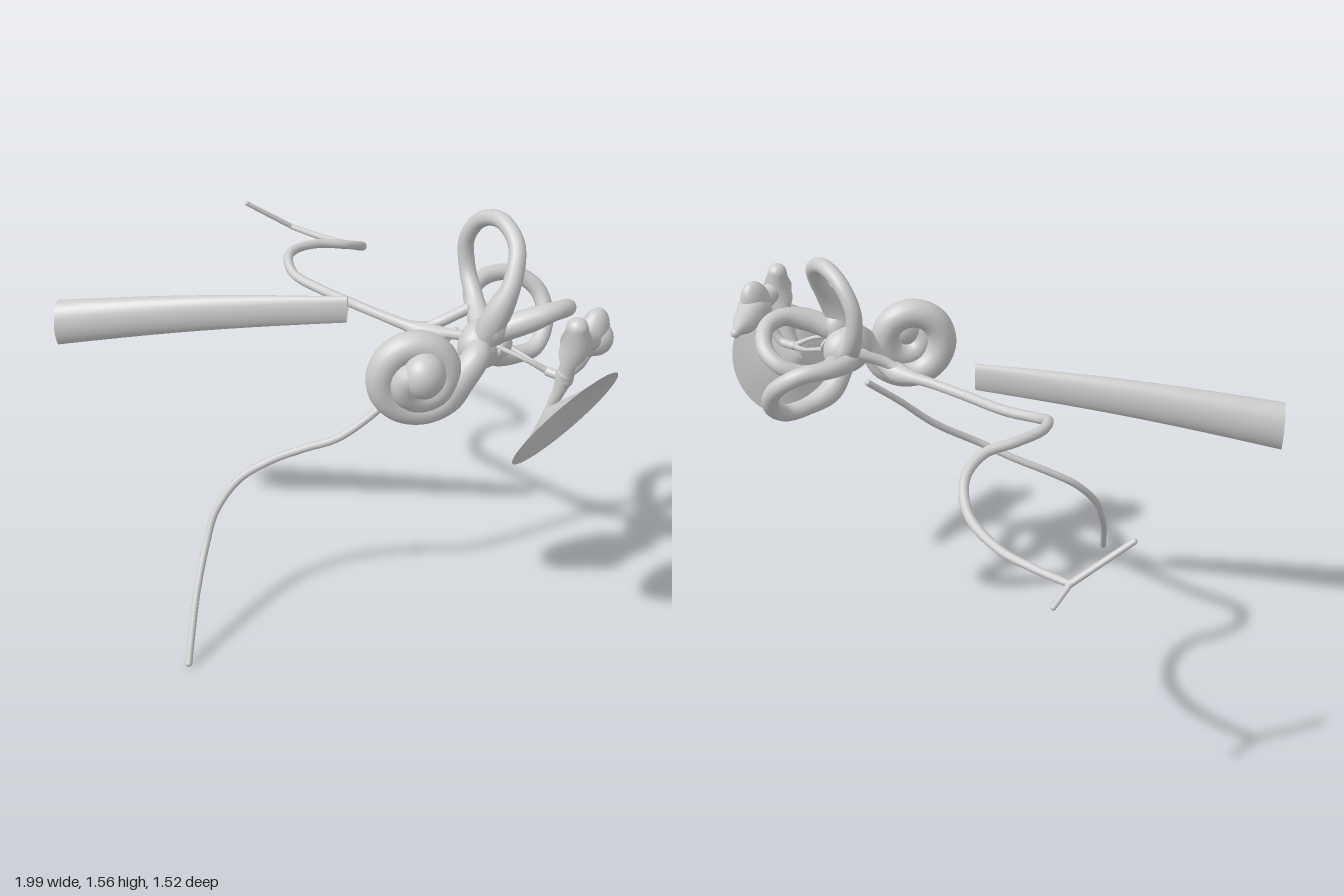
import * as THREE from 'three';

const bone = new THREE.MeshStandardMaterial({ color: 0xcccccc, side: THREE.DoubleSide });
bone.name = 'pale grey';

const V = (p) => new THREE.Vector3(...p);

function addMesh(parent, name, geometry) {
  const mesh = new THREE.Mesh(geometry, bone);
  mesh.name = name;
  parent.add(mesh);
  return mesh;
}

function blob(parent, name, pos, size, rot = [0, 0, 0]) {
  const mesh = addMesh(parent, name, new THREE.SphereGeometry(1, 28, 20));
  mesh.position.set(...pos);
  mesh.scale.set(...size);
  mesh.rotation.set(...rot);
  return mesh;
}

// Smooth tube whose radius follows a list spread evenly along its length
function limb(parent, name, points, radii, segments = 80, sides = 16) {
  const curve = new THREE.CatmullRomCurve3(points.map(V), false, 'centripetal');
  const geo = new THREE.TubeGeometry(curve, segments, 1, sides);
  const pos = geo.attributes.position, nor = geo.attributes.normal;
  const radiusAt = (t) => {
    const f = t * (radii.length - 1), i = Math.min(Math.floor(f), radii.length - 2);
    return THREE.MathUtils.lerp(radii[i], radii[i + 1], THREE.MathUtils.smoothstep(f - i, 0, 1));
  };
  for (let i = 0; i < pos.count; i++) {
    const k = radiusAt(Math.floor(i / (sides + 1)) / segments) - 1;
    pos.setXYZ(i, pos.getX(i) + nor.getX(i) * k, pos.getY(i) + nor.getY(i) * k, pos.getZ(i) + nor.getZ(i) * k);
  }
  geo.computeBoundingSphere();
  const group = new THREE.Group();
  group.name = name;
  addMesh(group, name + 'Tube', geo);
  [[points[0], radii[0]], [points.at(-1), radii.at(-1)]].forEach(([p, r]) => blob(group, name + 'End', p, [r, r, r]));
  parent.add(group);
}

// Grid sheet shaped by a rule (u, v in 0..1)
function sheet(parent, name, nu, nv, rule) {
  const geo = new THREE.PlaneGeometry(1, 1, nu, nv);
  const pos = geo.attributes.position;
  for (let i = 0; i < pos.count; i++) pos.setXYZ(i, ...rule(pos.getX(i) + 0.5, pos.getY(i) + 0.5));
  geo.computeVertexNormals();
  return addMesh(parent, name, geo);
}

export function createModel() {
  const model = new THREE.Group();
  model.name = 'innerEar';

  // Flattened tapering sleeve, open along its underside
  sheet(model, 'sleeve', 40, 12, (u, v) => {
    const a = (u - 0.5) * 2 * 2.5, L = THREE.MathUtils.lerp;
    const w = L(0.063, 0.02, v), h = L(0.09, 0.054, v), bulge = 0.012 * Math.sin(Math.PI * v);
    const s = -w * Math.sin(a);
    return [L(-0.853, 0.026, v) + 0.577 * s, L(1.005, 1.144, v) + bulge + h * Math.cos(a), L(0.55, -0.08, v) + 0.817 * s];
  });

  // Long nerve dropping to the front
  limb(model, 'lowerNerve', [
    [0.035, 0.015, 0.745], [-0.06, 0.22, 0.61], [-0.115, 0.35, 0.51], [-0.133, 0.45, 0.445],
    [-0.105, 0.56, 0.35], [-0.03, 0.635, 0.255], [0.06, 0.69, 0.175], [0.163, 0.75, 0.1],
    [0.25, 0.87, -0.06], [0.305, 1.0, -0.19], [0.345, 1.1, -0.3]], [0.013, 0.014, 0.014, 0.012], 120, 12);

  // Winding nerve with a swelling near the vestibule and a forked tip
  limb(model, 'rearNerve', [
    [0.0, 1.118, -0.17], [-0.184, 1.12, -0.166], [-0.33, 1.14, -0.16], [-0.4, 1.17, -0.198],
    [-0.43, 1.175, -0.267], [-0.41, 1.17, -0.374], [-0.36, 1.15, -0.47], [-0.37, 1.11, -0.57],
    [-0.46, 1.05, -0.655], [-0.61, 1.01, -0.69], [-0.746, 1.0, -0.688], [-0.88, 1.0, -0.68]], [0.018, 0.018, 0.017, 0.012], 140, 12);
  limb(model, 'nerveSwelling', [
    [0, 1.118, -0.17], [0.16, 1.117, -0.178], [0.3, 1.115, -0.195], [0.4, 1.14, -0.21], [0.5, 1.16, -0.22]],
  [0.018, 0.018, 0.02, 0.038, 0.018, 0.018], 60);
  limb(model, 'swellingBranch', [[0.27, 1.12, -0.19], [0.33, 1.155, -0.22], [0.39, 1.2, -0.3]], [0.014, 0.02, 0.02], 20);
  limb(model, 'forkLongArm', [[-0.88, 1.0, -0.68], [-0.99, 1.12, -0.525]], [0.011, 0.01], 6, 10);
  limb(model, 'forkShortArm', [[-0.88, 1.0, -0.68], [-0.88, 0.958, -0.755]], [0.01, 0.009], 6, 10);

  // Vestibule
  blob(model, 'vestibule', [0.53, 1.15, -0.22], [0.075, 0.09, 0.1]);
  blob(model, 'vestibuleCrown', [0.575, 1.22, -0.22], [0.05, 0.07, 0.055], [0, 0, -0.2]);

  // Three semicircular canals
  limb(model, 'upperCanal', [
    [0.55, 1.18, -0.2], [0.585, 1.28, -0.215], [0.6, 1.38, -0.265], [0.56, 1.485, -0.33],
    [0.46, 1.533, -0.37], [0.36, 1.5, -0.388], [0.3, 1.41, -0.392], [0.31, 1.3, -0.392],
    [0.37, 1.225, -0.36], [0.46, 1.17, -0.29], [0.52, 1.15, -0.23]],
  [0.05, 0.046, 0.032, 0.029, 0.028, 0.028, 0.028, 0.029, 0.032, 0.04, 0.045], 110);
  limb(model, 'rearCanal', [
    [0.4, 1.2, -0.33], [0.33, 1.22, -0.4], [0.315, 1.235, -0.5], [0.36, 1.232, -0.59],
    [0.44, 1.17, -0.645], [0.5, 1.08, -0.62], [0.525, 1.012, -0.54], [0.51, 1.008, -0.45],
    [0.49, 1.04, -0.35], [0.51, 1.11, -0.26]],
  [0.032, 0.031, 0.03, 0.03, 0.03, 0.03, 0.032, 0.042, 0.04], 110);
  limb(model, 'sideCanal', [
    [0.58, 1.21, -0.23], [0.65, 1.25, -0.29], [0.7, 1.275, -0.37], [0.7, 1.262, -0.45],
    [0.64, 1.215, -0.512], [0.565, 1.17, -0.508], [0.51, 1.135, -0.44], [0.5, 1.125, -0.35], [0.53, 1.13, -0.25]],
  [0.042, 0.042, 0.032, 0.03, 0.03, 0.03, 0.032, 0.036], 100);

  // Cochlea: spiral tube winding in toward a domed tip
  const n = V([0.8, 0, 0.6]), u = V([0.6, 0, -0.8]), centre = V([0.455, 1.11, 0.03]);
  const coil = [[0.53, 1.16, -0.19], [0.575, 1.15, -0.13]];
  const steps = 18;
  for (let i = 0; i <= steps; i++) {
    const t = i / steps, a = -t * Math.PI * 3.2 - 0.25;
    const r = THREE.MathUtils.lerp(0.143, 0.04, Math.pow(t, 1.3));
    const p = centre.clone().addScaledVector(u, r * Math.cos(a)).addScaledVector(n, 0.085 * t * t + 0.025 * (1 - t) ** 3);
    p.y += r * Math.sin(a);
    coil.push(p.toArray());
  }
  limb(model, 'cochlea', coil, [0.045, 0.054, 0.055, 0.054, 0.052, 0.05], 160, 20);
  blob(model, 'cochleaTip', [0.525, 1.14, 0.075], [0.07, 0.08, 0.075]);

  // Eardrum: tilted shallow funnel
  sheet(model, 'eardrum', 64, 14, (s, r) => {
    const a = s * Math.PI * 2, c = r * Math.cos(a), d = r * Math.sin(a), pull = 1 - r;
    return [0.885 + 0.108 * c - 0.065 * pull * (0.5 + 0.5 * pull),
      0.997 + 0.193 * c + 0.03 * pull, -0.228 + 0.235 * d + 0.03 * pull];
  });

  // Hammer bone
  limb(model, 'hammerHead', [[0.9, 1.345, -0.218], [0.9, 1.29, -0.22], [0.885, 1.22, -0.215], [0.875, 1.15, -0.215]],
    [0.036, 0.052, 0.044, 0.026, 0.028], 40, 20);
  limb(model, 'hammerHandle', [[0.875, 1.17, -0.215], [0.86, 1.1, -0.21], [0.825, 1.01, -0.2]], [0.03, 0.02, 0.01], 30);

  // Anvil bone
  blob(model, 'anvilBody', [0.88, 1.275, -0.345], [0.045, 0.085, 0.06], [-0.3, 0, 0]);
  limb(model, 'anvilBridge', [[0.9, 1.29, -0.23], [0.885, 1.26, -0.33]], [0.035, 0.04], 10);
  limb(model, 'anvilShortArm', [[0.88, 1.25, -0.36], [0.86, 1.225, -0.42], [0.845, 1.205, -0.48]], [0.06, 0.045, 0.018], 24);
  limb(model, 'anvilLongArm', [[0.87, 1.25, -0.34], [0.86, 1.17, -0.305], [0.82, 1.112, -0.288], [0.765, 1.108, -0.28]],
    [0.045, 0.026, 0.017, 0.016], 36);

  // Stirrup bone: two thin legs and a footplate
  for (const k of [-1, 1]) {
    limb(model, 'stirrupLeg', [[0.765, 1.108, -0.28], [0.7, 1.13 + 0.015 * k, -0.262 + 0.025 * k], [0.61, 1.155 + 0.015 * k, -0.24 + 0.035 * k]],
      [0.011, 0.008, 0.009], 20, 10);
  }
  blob(model, 'stirrupFootplate', [0.61, 1.155, -0.24], [0.012, 0.028, 0.05], [0, 0.2, 0.2]);

  return model;
}
